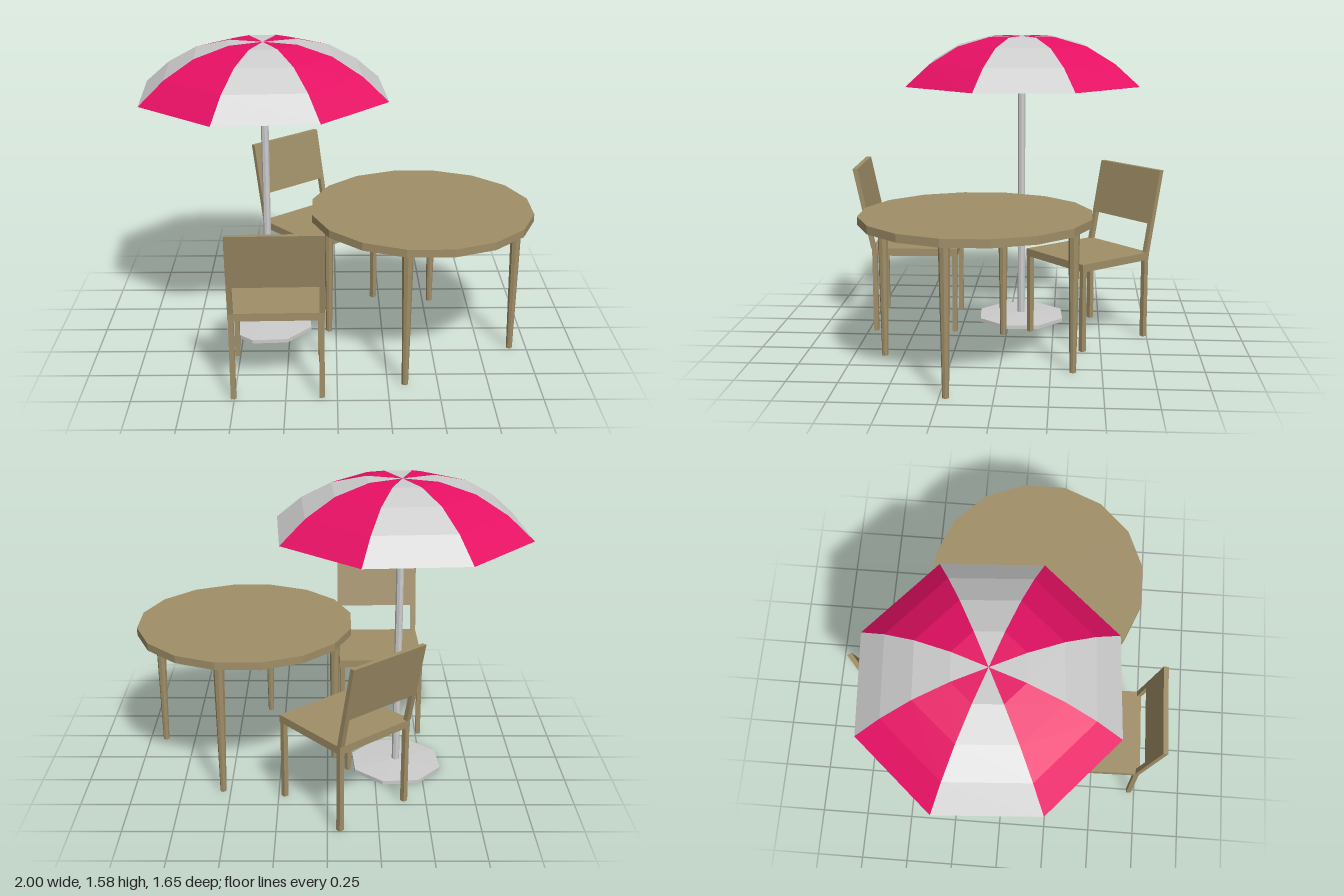
import * as THREE from 'three';

const wood = new THREE.MeshStandardMaterial({ color: 0x9f8e67, flatShading: true });
const grey = new THREE.MeshStandardMaterial({ color: 0xcccccc, flatShading: true });
const greyCloth = new THREE.MeshStandardMaterial({ color: 0xcccccc, flatShading: true, side: THREE.DoubleSide });
const pinkCloth = new THREE.MeshStandardMaterial({ color: 0xe61063, flatShading: true, side: THREE.DoubleSide });
const rad = THREE.MathUtils.degToRad;

function add(parent, name, geometry, material, x = 0, y = 0, z = 0) {
  const mesh = new THREE.Mesh(geometry, material);
  mesh.name = name;
  mesh.position.set(x, y, z);
  parent.add(mesh);
  return mesh;
}

function createTable() {
  const table = new THREE.Group();
  table.name = 'table';
  add(table, 'tableTop', new THREE.CylinderGeometry(0.572, 0.572, 0.04, 16, 1, false, rad(11.2)), wood, 0, 0.74, 0);
  // Four tapered legs
  for (let i = 0; i < 4; i++) {
    const a = rad(12 + 90 * i);
    add(table, 'tableLeg', new THREE.CylinderGeometry(0.028, 0.016, 0.72, 8), wood,
      0.486 * Math.cos(a), 0.36, 0.486 * Math.sin(a));
  }
  return table;
}

function createChair() {
  const chair = new THREE.Group();
  chair.name = 'chair';
  const half = 0.23, bar = 0.026;
  add(chair, 'seat', new THREE.BoxGeometry(2 * half, 0.04, 2 * half), wood, 0, 0.44, 0);
  for (const sx of [-1, 1]) {
    for (const sz of [-1, 1]) {
      add(chair, 'chairLeg', new THREE.BoxGeometry(bar, 0.42, bar), wood,
        sx * (half - 0.015), 0.21, sz * (half - 0.015));
    }
  }
  // Backrest: a panel on two posts, leaning backwards
  const inner = half - bar;
  const outline = new THREE.Shape([
    [-half, 0], [-inner, 0], [-inner, 0.15], [inner, 0.15],
    [inner, 0], [half, 0], [half, 0.43], [-half, 0.43],
  ].map(([x, y]) => new THREE.Vector2(x, y)));
  const back = new THREE.ExtrudeGeometry(outline, { depth: 0.025, bevelEnabled: false });
  const lean = new THREE.Matrix4().set(1, 0, 0, 0, 0, 1, 0, 0, 0, -0.21, 1, 0, 0, 0, 0, 1);
  back.applyMatrix4(lean);
  add(chair, 'backrest', back, wood, 0, 0.46, -0.233);
  return chair;
}

function createParasol() {
  const parasol = new THREE.Group();
  parasol.name = 'parasol';
  const start = rad(26.1);
  // Low octagonal foot with a slightly raised top
  const foot = [[0, 0], [0.246, 0], [0.246, 0.02], [0.03, 0.032], [0, 0.032]];
  add(parasol, 'foot', new THREE.LatheGeometry(foot.map(([r, y]) => new THREE.Vector2(r, y)), 8, start), grey);
  add(parasol, 'pole', new THREE.CylinderGeometry(0.02, 0.02, 1.55, 8), grey, 0, 0.8, 0);
  // Eight cloth panels in alternating colours
  const profile = [[0.665, 1.325], [0.53, 1.44], [0.37, 1.53], [0.185, 1.578], [0, 1.58]]
    .map(([r, y]) => new THREE.Vector2(r, y));
  for (let i = 0; i < 8; i++) {
    add(parasol, 'canopyPanel', new THREE.LatheGeometry(profile, 1, start + i * Math.PI / 4, Math.PI / 4),
      i % 2 ? greyCloth : pinkCloth);
  }
  return parasol;
}

export function createModel() {
  const model = new THREE.Group();
  model.name = 'patioSet';

  const table = createTable();
  table.position.set(0.4375, 0, 0.1175);

  const parasol = createParasol();
  parasol.position.set(-0.3675, 0, -0.065);

  const frontChair = createChair();
  frontChair.name = 'frontChair';
  frontChair.position.set(-0.294, 0, 0.5);
  frontChair.rotation.y = Math.PI + 0.022;

  const rearChair = createChair();
  rearChair.name = 'rearChair';
  rearChair.position.set(-0.085, 0, -0.43);
  rearChair.rotation.y = rad(40.5);

  model.add(table, parasol, frontChair, rearChair);
  return model;
}
